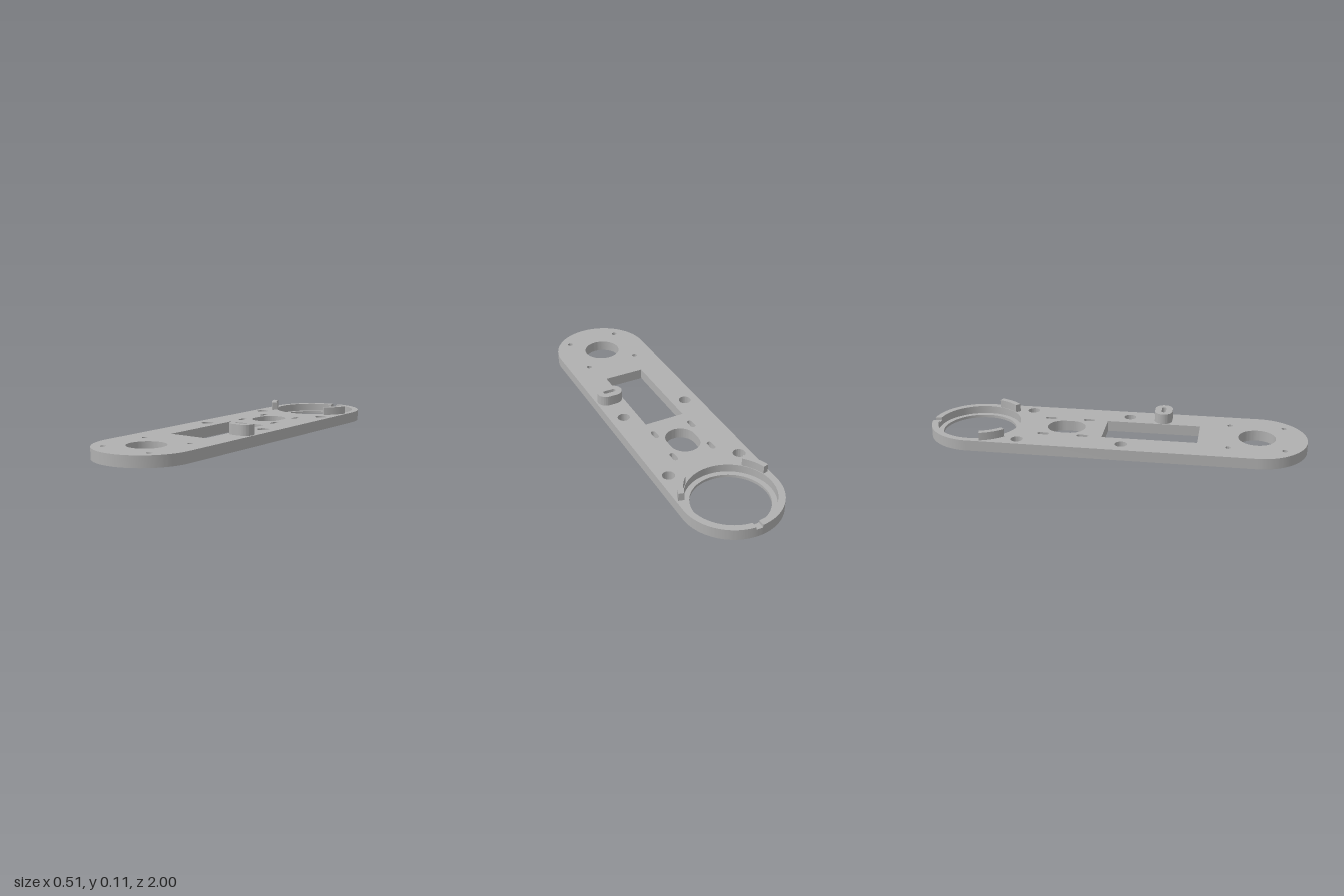
import * as THREE from 'three';
import { toCreasedNormals } from 'three/addons/utils/BufferGeometryUtils.js';

const T = 0.057;            // plate thickness
const R = 0.256;            // rounded end radius
const END = 0.744;          // distance of the end centres from the middle
const BORE = 0.222;         // recess radius
const NOTCH = 0.018;        // half width of the rim notch

// Outlines are drawn in plan, with shape y pointing to the back (-z).
function circle(x, z, r, Type = THREE.Path) {
  const p = new Type();
  p.absarc(x, -z, r, 0, Math.PI * 2, false);
  return p;
}

// Rounded slot with half extents hx, hz
function slot(x, z, hx, hz, Type = THREE.Path) {
  const p = new Type();
  const r = Math.min(hx, hz), y = -z, dx = hx - r, dy = hz - r, q = Math.PI / 2;
  if (hx > hz) {
    p.absarc(x + dx, y, r, -q, q, false);
    p.absarc(x - dx, y, r, q, 3 * q, false);
  } else {
    p.absarc(x, y + dy, r, 0, 2 * q, false);
    p.absarc(x, y - dy, r, 2 * q, 4 * q, false);
  }
  p.closePath();
  return p;
}

// Piece of a ring around the recess centre
function arcBand(outer, inner, o0, o1, i0 = o0, i1 = o1) {
  const s = new THREE.Shape();
  s.absarc(0, END, outer, o0, o1, false);
  s.absarc(0, END, inner, i1, i0, true);
  s.closePath();
  return s;
}

export function createModel() {
  const model = new THREE.Group();
  model.name = 'mountingPlate';
  const grey = new THREE.MeshStandardMaterial({ color: 0xb0b0b0 });
  grey.name = 'grey';

  function add(name, shape, y0, y1) {
    let g = new THREE.ExtrudeGeometry(shape, { depth: y1 - y0, bevelEnabled: false, curveSegments: 40 });
    g.rotateX(-Math.PI / 2);
    g.translate(0, y0, 0);
    g = toCreasedNormals(g, 0.5);
    const mesh = new THREE.Mesh(g, grey);
    mesh.name = name;
    model.add(mesh);
  }

  // Plate outline, entering the recess through the rim notch at the back
  const q = Math.PI / 2;
  const a = Math.asin(NOTCH / R), b = Math.asin(NOTCH / BORE);
  const plate = new THREE.Shape();
  plate.absarc(0, END, R, q + a, 2 * q, false);
  plate.absarc(0, -END, R, 2 * q, 4 * q, false);
  plate.absarc(0, END, R, 0, q - a, false);
  plate.absarc(0, END, BORE, q - b, q + b - 4 * q, true);
  plate.closePath();

  // Central openings
  plate.holes.push(slot(0, -0.265, 0.079, 0.101), circle(0, 0.741, 0.097));
  const win = new THREE.Path();
  win.moveTo(-0.108, 0.06);
  win.lineTo(0.108, 0.06);
  win.lineTo(0.108, -0.437);
  win.lineTo(-0.108, -0.437);
  win.closePath();
  plate.holes.push(win);

  // Mirrored bolt holes, slots and screw holes
  for (const s of [-1, 1]) {
    plate.holes.push(
      circle(s * 0.198, -0.49, 0.032), circle(s * 0.182, 0.052, 0.032),
      slot(s * 0.106, -0.37, 0.013, 0.031), slot(s * 0.106, -0.161, 0.013, 0.031),
      circle(s * 0.143, 0.596, 0.014), circle(s * 0.143, 0.881, 0.014));
  }
  plate.holes.push(slot(0.179, 0.236, 0.035, 0.012));
  add('plate', plate, 0, T);

  // Wall left below the shallow notch
  add('notchFloor', arcBand(R, BORE, q - a, q + a, q - b, q + b), 0, T - 0.015);

  // Thin ledge at the bottom of the recess
  const ledge = circle(0, -END, BORE, THREE.Shape);
  ledge.holes.push(circle(0, -END, 0.195));
  add('recessLedge', ledge, 0, 0.015);

  // Curved retaining tabs beside the recess
  const t0 = THREE.MathUtils.degToRad(15), t1 = THREE.MathUtils.degToRad(46);
  add('leftTab', arcBand(0.254, 0.225, -t1, -t0), T, 0.099);
  add('rightTab', arcBand(0.254, 0.225, Math.PI + t0, Math.PI + t1), T, 0.099);

  // Slotted oval post
  const post = slot(0.179, 0.236, 0.0675, 0.047, THREE.Shape);
  post.holes.push(slot(0.179, 0.236, 0.035, 0.012));
  add('slottedPost', post, T, 0.112);

  return model;
}
